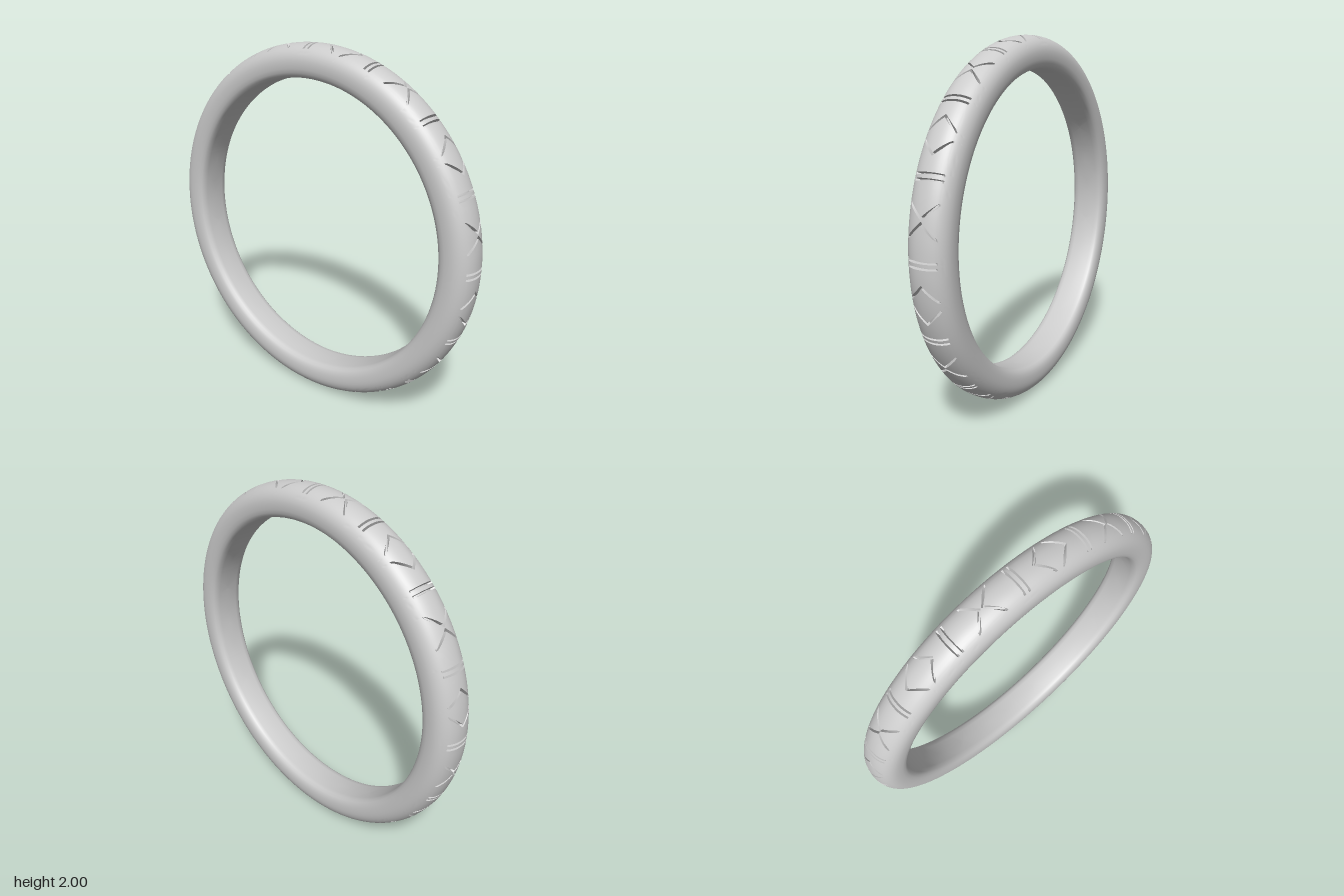
import * as THREE from 'three';
import { toCreasedNormals } from 'three/addons/utils/BufferGeometryUtils.js';

const SECTORS = 16;                       // diamonds and crosses alternate
const STEP = (Math.PI * 2) / SECTORS;
const DEPTH = 0.022;                      // groove depth
const REACH = 0.077;                      // grooves end at this |z|

// Half of the outer dome, from the crown to the side
const domeZ = [0, 0.015, 0.03, 0.045, 0.06, 0.068, 0.074, REACH, 0.085, 0.092, 0.098, 0.103, 0.107, 0.1092, 0.11];
// Half of the inner face, from the side to the middle
const innerHalf = [[0.875, 0.109], [0.855, 0.104], [0.84, 0.096], [0.83, 0.083], [0.826, 0.06], [0.825, 0]];

// Closed cross-section as [radius, z, isOuter]
function crossSection() {
  const dome = z => 0.9 + 0.1 * Math.pow(Math.max(0, 1 - Math.pow(Math.abs(z) / 0.11, 2.2)), 1 / 2.2);
  const zs = [...domeZ.slice(1).reverse().map(z => -z), ...domeZ];
  const outer = zs.map(z => [dome(z), z, true]);
  const front = innerHalf.map(([r, z]) => [r, z, false]);
  const back = innerHalf.slice(0, -1).reverse().map(([r, z]) => [r, -z, false]);
  return [...outer, ...front, ...back];
}

// Columns of one sector at height z: [angle, groove depth]; they follow the groove edges
function sectorColumns(sector, z) {
  const a = Math.min(Math.abs(z), REACH);
  const t = a / REACH;
  const taper = a > 0.07 ? 0.6 : 1;
  const offset = sector % 2 === 0
    ? 0.095 - 0.073 * t                   // two chevrons forming an open diamond
    : 0.010 + 0.070 * t;                  // two chevrons back to back, forming a cross
  const grooves = [
    [0.014, 0.006],                       // one bar of the pair at each sector border
    [STEP / 2 - offset, 0.0088 * taper],
    [STEP / 2 + offset, 0.0088 * taper],
    [STEP - 0.014, 0.006],
  ];
  const columns = [];
  let last = 0;
  const gap = (to, parts) => {
    for (let k = 0; k < parts; k++) columns.push([last + (to - last) * k / parts, 0]);
  };
  grooves.forEach(([mid, half], g) => {
    // The first column of a gap after a groove is that groove's far edge
    gap(mid - half, g === 0 ? 1 : 4);
    columns.push([mid - half, 0], [mid - half * 0.7, DEPTH], [mid + half * 0.7, DEPTH]);
    last = mid + half;
  });
  columns.push([last, 0]);
  return columns;
}

// Ring surface with the grooves pressed into the outer dome
function bandGeometry() {
  const section = crossSection();
  const rows = section.length;
  const positions = [];
  const index = [];
  let columnCount = 0;

  for (let s = 0; s < SECTORS; s++) {
    const perRow = section.map(([, z]) => sectorColumns(s, z));
    for (let c = 0; c < perRow[0].length; c++) {
      section.forEach(([r, z, isOuter], j) => {
        const [offset, depth] = perRow[j][c];
        const angle = s * STEP + offset;
        const cut = isOuter && Math.abs(z) < REACH - 0.001 ? depth : 0;
        const keep = 1 - cut / Math.hypot(r - 0.9, z);
        const radius = 0.9 + (r - 0.9) * keep;
        positions.push(radius * Math.sin(angle), 1 + radius * Math.cos(angle), z * keep);
      });
      columnCount++;
    }
  }

  for (let i = 0; i < columnCount; i++) {
    const next = (i + 1) % columnCount;
    for (let j = 0; j < rows; j++) {
      const k = (j + 1) % rows;
      const a = i * rows + j, b = i * rows + k, c = next * rows + k, d = next * rows + j;
      index.push(a, b, d, b, c, d);
    }
  }

  const geometry = new THREE.BufferGeometry();
  geometry.setAttribute('position', new THREE.Float32BufferAttribute(positions, 3));
  geometry.setIndex(index);
  return toCreasedNormals(geometry, 0.6);
}

export function createModel() {
  const group = new THREE.Group();
  group.name = 'engravedRing';
  const band = new THREE.Mesh(bandGeometry(), new THREE.MeshStandardMaterial({ color: 0xcccccc }));
  band.name = 'band';
  group.add(band);
  return group;
}
